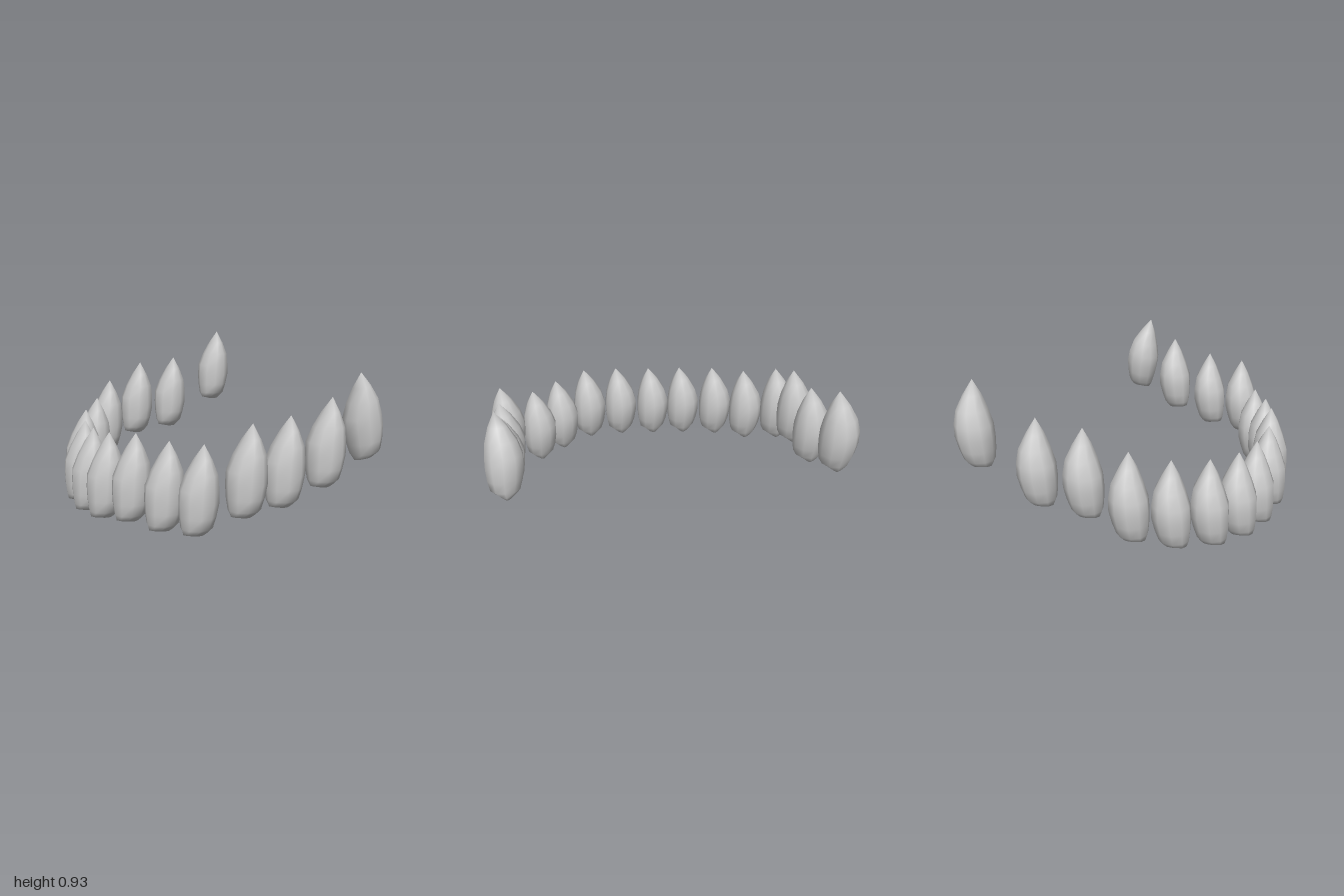
import * as THREE from 'three';

// Cross-sections of one tooth: [y, xMin, xMax, zMin, zMax], from root to tip
const SECTIONS = [
  [0.0, -0.02, 0.035, -0.015, 0.015],
  [0.018, -0.09, 0.055, -0.04, 0.045],
  [0.05, -0.1, 0.072, -0.072, 0.088],
  [0.11, -0.106, 0.092, -0.09, 0.1],
  [0.18, -0.108, 0.11, -0.1, 0.105],
  [0.25, -0.102, 0.11, -0.1, 0.104],
  [0.33, -0.07, 0.098, -0.076, 0.095],
  [0.41, -0.032, 0.062, -0.03, 0.072],
];
const TIP = [0.016, 0.49, 0.033];
const SIDES = 10;

// Loft the sections and close both ends with a fan
function toothGeometry() {
  const positions = [];
  const index = [];
  for (const [y, x0, x1, z0, z1] of SECTIONS) {
    for (let k = 0; k < SIDES; k++) {
      const a = (k / SIDES) * Math.PI * 2;
      positions.push(
        (x0 + x1) / 2 + ((x1 - x0) / 2) * Math.cos(a),
        y,
        (z0 + z1) / 2 + ((z1 - z0) / 2) * Math.sin(a) * 1.03
      );
    }
  }
  const rings = SECTIONS.length;
  const tip = rings * SIDES;
  const root = tip + 1;
  positions.push(...TIP, 0, 0, 0);
  for (let k = 0; k < SIDES; k++) {
    const n = (k + 1) % SIDES;
    for (let i = 0; i < rings - 1; i++) {
      const a = i * SIDES + k, b = i * SIDES + n;
      index.push(a, a + SIDES, b, b, a + SIDES, b + SIDES);
    }
    index.push((rings - 1) * SIDES + k, tip, (rings - 1) * SIDES + n);
    index.push(k, n, root);
  }
  const geometry = new THREE.BufferGeometry();
  geometry.setAttribute('position', new THREE.Float32BufferAttribute(positions, 3));
  geometry.setIndex(index);
  geometry.computeVertexNormals();
  return geometry;
}

// Root position of each tooth along the open arch, with optional lean about z
const TEETH = [
  [0.66, 0.44, -0.9],
  [0.29, 0.275, -0.88],
  [0.02, 0.257, -0.86],
  [-0.225, 0.155, -0.825],
  [-0.39, 0.072, -0.66],
  [-0.54, 0.035, -0.485],
  [-0.63, 0.01, -0.28],
  [-0.665, 0.003, -0.075],
  [-0.665, 0.017, 0.145],
  [-0.608, 0.045, 0.36],
  [-0.51, 0.028, 0.55],
  [-0.39, 0.025, 0.7],
  [-0.223, 0.148, 0.89],
  [0.01, 0.168, 0.89],
  [0.275, 0.24, 0.89],
  [0.572, 0.366, 0.89, 0.225],
];

export function createModel() {
  const group = new THREE.Group();
  group.name = 'toothArch';
  const geometry = toothGeometry();
  const material = new THREE.MeshStandardMaterial({ color: 0xcccccc });
  TEETH.forEach(([x, y, z, lean = 0], i) => {
    const tooth = new THREE.Mesh(geometry, material);
    tooth.name = `tooth${i + 1}`;
    tooth.position.set(x, y, z);
    tooth.rotation.z = lean;
    group.add(tooth);
  });
  return group;
}
